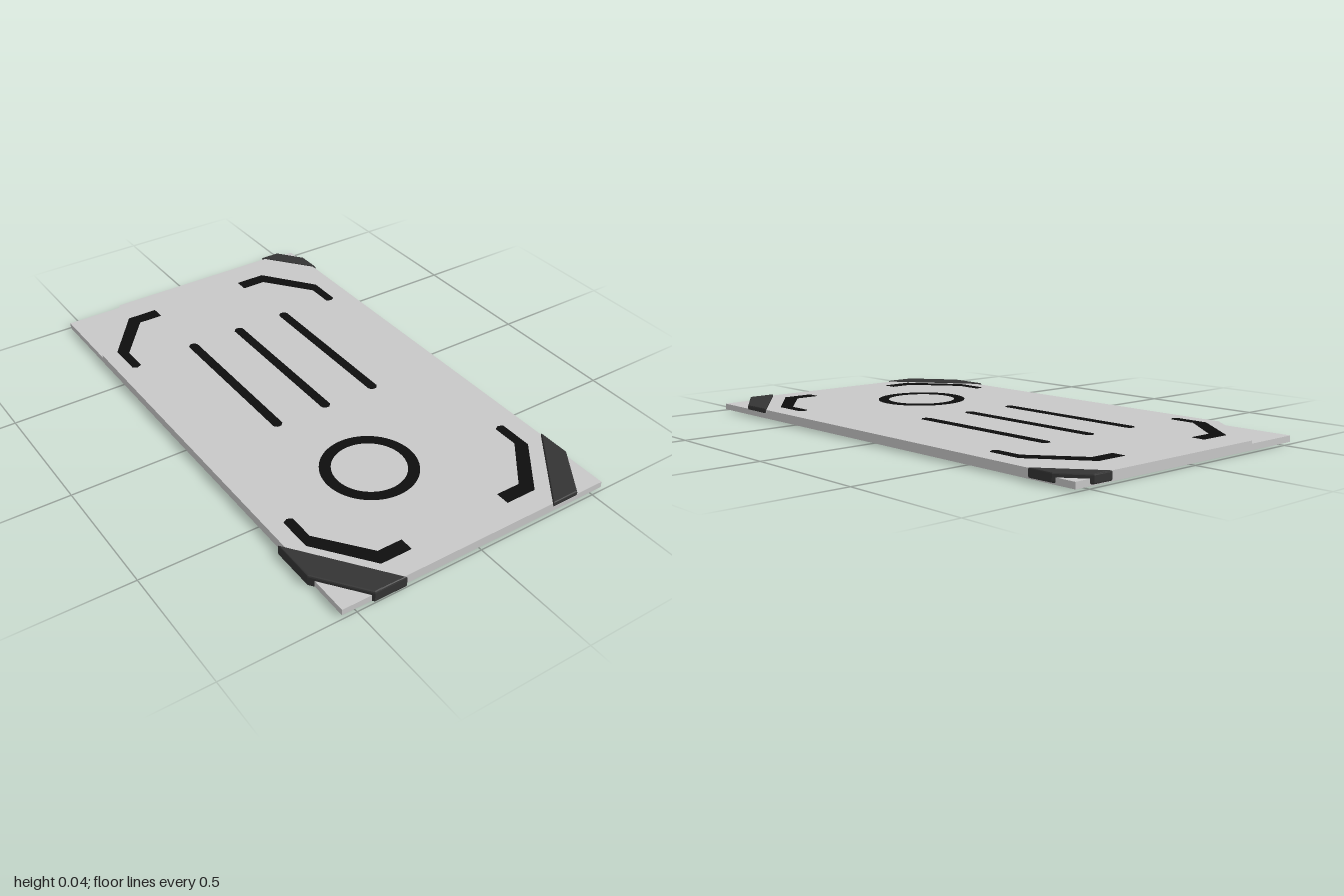
import * as THREE from 'three';

// Extrude an outline given as [x, z] points between two heights, with optional bevel.
function slab(points, y0, y1, bevel = 0, holes = []) {
  const shape = points instanceof THREE.Shape
    ? points
    : new THREE.Shape(points.map(([x, z]) => new THREE.Vector2(x, z)));
  shape.holes.push(...holes);
  const geo = new THREE.ExtrudeGeometry(shape, {
    depth: y1 - y0 - 2 * bevel,
    bevelEnabled: bevel > 0,
    bevelThickness: bevel,
    bevelSize: bevel,
    bevelOffset: -bevel,
    bevelSegments: 2,
    curveSegments: 32,
  });
  geo.rotateX(Math.PI / 2);
  geo.translate(0, y1 - bevel, 0);
  return geo;
}

export function createModel() {
  const model = new THREE.Group();
  const mat = (name, color) => {
    const m = new THREE.MeshStandardMaterial({ color });
    m.name = name;
    return m;
  };
  const panelGrey = mat('panelGrey', 0xc8c8c8);
  const clipGrey = mat('clipGrey', 0x343434);
  const markBlack = mat('markBlack', 0x0d0d0d);

  const add = (name, geo, material) => {
    const mesh = new THREE.Mesh(geo, material);
    mesh.name = name;
    model.add(mesh);
    return mesh;
  };

  // Lower plate: full rectangle
  add('basePlate', slab([[-0.55, -0.99], [0.55, -0.99], [0.55, 0.99], [-0.55, 0.99]], 0.005, 0.028), panelGrey);

  // Upper plate: corners cut away
  add('topPlate', slab([
    [-0.32, -0.99], [0.41, -0.99], [0.55, -0.81], [0.55, 0.68],
    [0.32, 0.99], [-0.32, 0.99], [-0.55, 0.68], [-0.55, -0.68],
  ], 0.028, 0.039), panelGrey);

  // Corner bands: one wraps all round, the others sit on the plate
  add('frontRightBand', slab([
    [-0.565, 0.65], [-0.305, 0.998], [-0.43, 0.998], [-0.565, 0.82],
  ], 0, 0.043, 0.006), clipGrey);
  add('frontLeftBand', slab([
    [0.553, 0.68], [0.553, 0.81], [0.43, 0.993], [0.32, 0.993],
  ], 0.025, 0.044, 0.005), clipGrey);
  add('backLeftBand', slab([
    [0.40, -1.0], [0.48, -1.0], [0.557, -0.9], [0.557, -0.8],
  ], 0.01, 0.043, 0.005), clipGrey);

  // Black markings, just proud of the top plate
  const lo = 0.0385, hi = 0.0405;
  const bracket = [
    [0.205, 0.886], [0.327, 0.886], [0.48, 0.684], [0.48, 0.55], [0.462, 0.54],
    [0.444, 0.55], [0.444, 0.652], [0.302, 0.833], [0.205, 0.833],
  ];
  for (const sx of [-1, 1]) {
    for (const sz of [-1, 1]) {
      const pts = bracket.map(([x, z]) => [sx * x - 0.01, sz * z + 0.016]);
      const name = (sz > 0 ? 'front' : 'back') + (sx > 0 ? 'Left' : 'Right') + 'Bracket';
      add(name, slab(pts, lo, hi), markBlack);
    }
  }

  // Three parallel stripes with tapered ends
  [-0.214, 0, 0.218].forEach((x, i) => {
    const w = 0.019;
    add('stripe' + (i + 1), slab([
      [x - w, -0.54], [x - 0.008, -0.552], [x + 0.008, -0.552], [x + w, -0.54],
      [x + w, 0.098], [x + 0.008, 0.11], [x - 0.008, 0.11], [x - w, 0.098],
    ], lo, hi), markBlack);
  });

  // Ring
  const disc = new THREE.Shape().absarc(-0.081, 0.487, 0.178, 0, Math.PI * 2, false);
  const hole = new THREE.Path().absarc(-0.081, 0.487, 0.136, 0, Math.PI * 2, true);
  add('ring', slab(disc, lo, hi, 0, [hole]), markBlack);

  return model;
}
